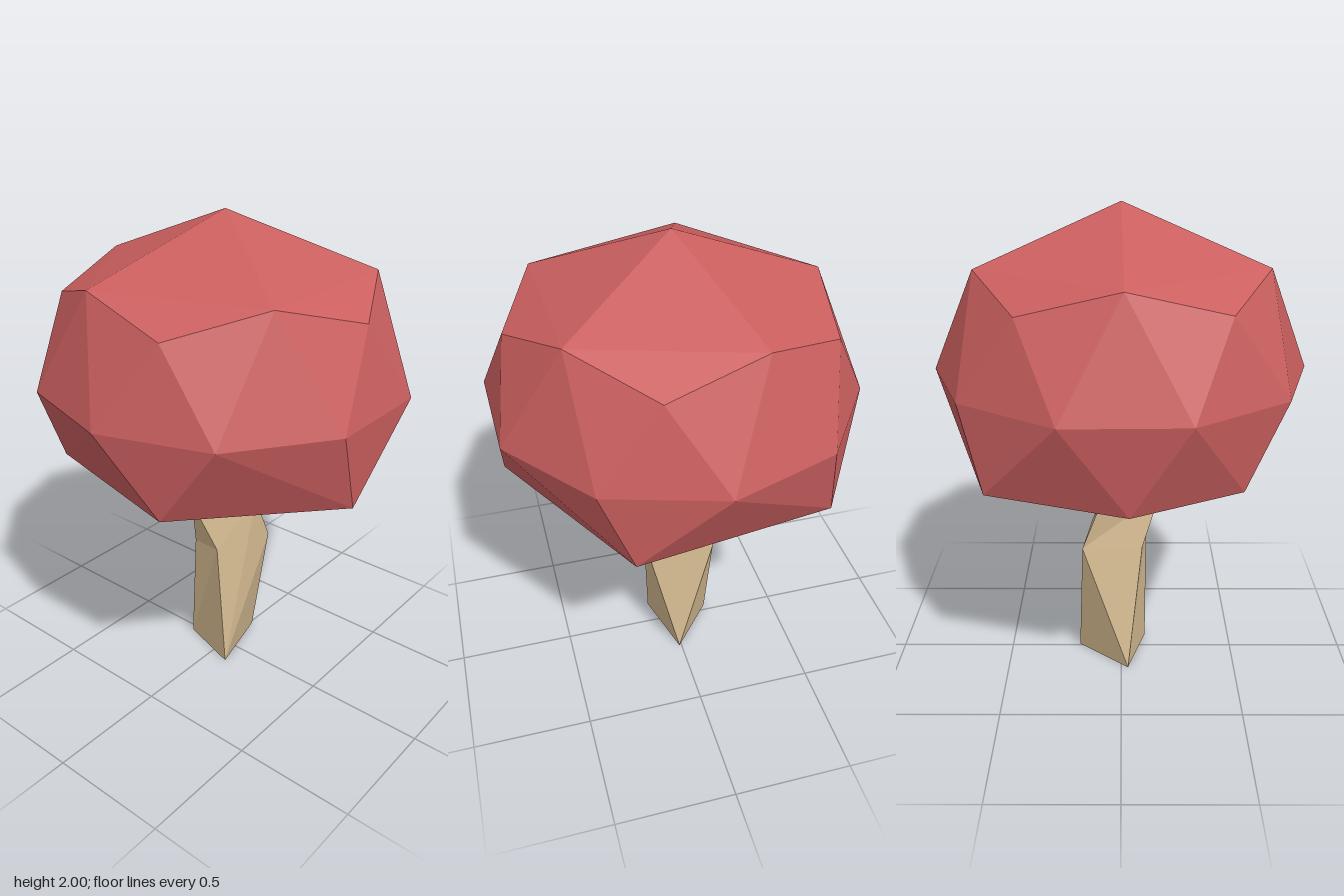
import * as THREE from 'three';

// Flat-shaded geometry from a list of corner triples
function faceted(tris) {
  const geo = new THREE.BufferGeometry();
  geo.setAttribute('position', new THREE.Float32BufferAttribute(tris.flat(2), 3));
  geo.computeVertexNormals();
  return geo;
}

// Distance between two points given as arrays
const gap = (a, b) => Math.hypot(a[0] - b[0], a[1] - b[1], a[2] - b[2]);

// Join two closed rings of different counts, always taking the shorter diagonal
function stitch(lower, upper) {
  const tris = [];
  let i = 0, j = 0;
  while (i < lower.length || j < upper.length) {
    const a = lower[i % lower.length], a2 = lower[(i + 1) % lower.length];
    const b = upper[j % upper.length], b2 = upper[(j + 1) % upper.length];
    const alongLower = j >= upper.length || (i < lower.length && gap(a2, b) < gap(a, b2));
    if (alongLower) { tris.push([a, a2, b]); i++; }
    else { tris.push([a, b2, b]); j++; }
  }
  return tris;
}

function capGeometry() {
  const apex = [0, 2, 0], hollow = [0, 1.25, 0];
  // crown ring alternates high and low corners
  const crown = [
    [-0.17, 0.565], [0.215, 0.605], [0.485, 0.33], [0.64, -0.015], [0.47, -0.35],
    [0.19, -0.615], [-0.195, -0.555], [-0.53, -0.37], [-0.59, 0.01], [-0.51, 0.39],
  ].map(([x, z], i) => [x, i % 2 ? 1.675 : 1.775, z]);
  const widest = [
    [-0.43, 0.62], [0.015, 0.75], [0.455, 0.6], [0.72, 0.22], [0.71, -0.25],
    [0.43, -0.62], [-0.02, -0.755], [-0.455, -0.6], [-0.72, -0.22], [-0.71, 0.25],
  ].map(([x, z]) => [x, 1.34, z]);
  const rim = [
    [-0.48, 1, 0.46], [0.22, 1.01, 0.635], [0.69, 1, 0.09],
    [0.3, 1, -0.63], [-0.51, 1, -0.51], [-0.645, 0.97, 0.03],
  ];
  const tris = [...stitch(widest, crown), ...stitch(rim, widest)];
  // top fan over the high corners, with a small facet at each low corner
  for (let i = 0; i < 10; i += 2) {
    const a = crown[i], low = crown[i + 1], b = crown[(i + 2) % 10];
    tris.push([a, b, apex], [a, low, b]);
  }
  // hollow underside
  rim.forEach((p, i) => tris.push([rim[(i + 1) % rim.length], p, hollow]));
  return faceted(tris);
}

function stemGeometry() {
  // foot, knee, neck and top corners of the bent stem
  const v = {
    f1: [-0.175, 0, 0.03], f2: [0.09, 0, 0.11], f3: [0.01, 0, -0.19],
    k0: [-0.145, 0.58, -0.165], k1: [-0.095, 0.56, 0.09], k2: [0.045, 0.57, 0.11], k3: [0.14, 0.58, -0.13],
    n1: [-0.14, 0.79, -0.085], n2: [-0.045, 0.79, 0.165], n3: [0.14, 0.79, -0.035],
    t1: [-0.185, 1.18, 0.04], t2: [0.113, 1.18, 0.095], t3: [-0.01, 1.18, -0.153],
  };
  const faces = [
    'f1 f2 k2', 'f1 k2 k1', 'k1 k2 n2', // front
    'f2 n3 k2', 'k2 n3 n2', 'f2 f3 k3', 'f2 k3 n3', // left side
    'f3 k0 k3', 'k3 k0 n1', 'k3 n1 n3', // back
    'f3 f1 k0', 'f1 k1 k0', 'k0 k1 n2', 'k0 n2 n1', // right side
    'n2 t2 t1', 'n2 n3 t2', 'n3 t3 t2', 'n3 n1 t3', 'n1 t1 t3', 'n1 n2 t1', // upper part
    't1 t2 t3', 'f1 f3 f2', // ends
  ];
  return faceted(faces.map((f) => f.split(' ').map((k) => v[k])));
}

export function createModel() {
  const red = new THREE.MeshStandardMaterial({ color: 0xcb5f5f });
  red.name = 'mushroomRed';
  const tan = new THREE.MeshStandardMaterial({ color: 0xd6bb92 });
  tan.name = 'stemTan';

  const cap = new THREE.Mesh(capGeometry(), red);
  cap.name = 'cap';
  const stem = new THREE.Mesh(stemGeometry(), tan);
  stem.name = 'stem';

  const model = new THREE.Group();
  model.name = 'mushroom';
  model.add(cap, stem);
  return model;
}
